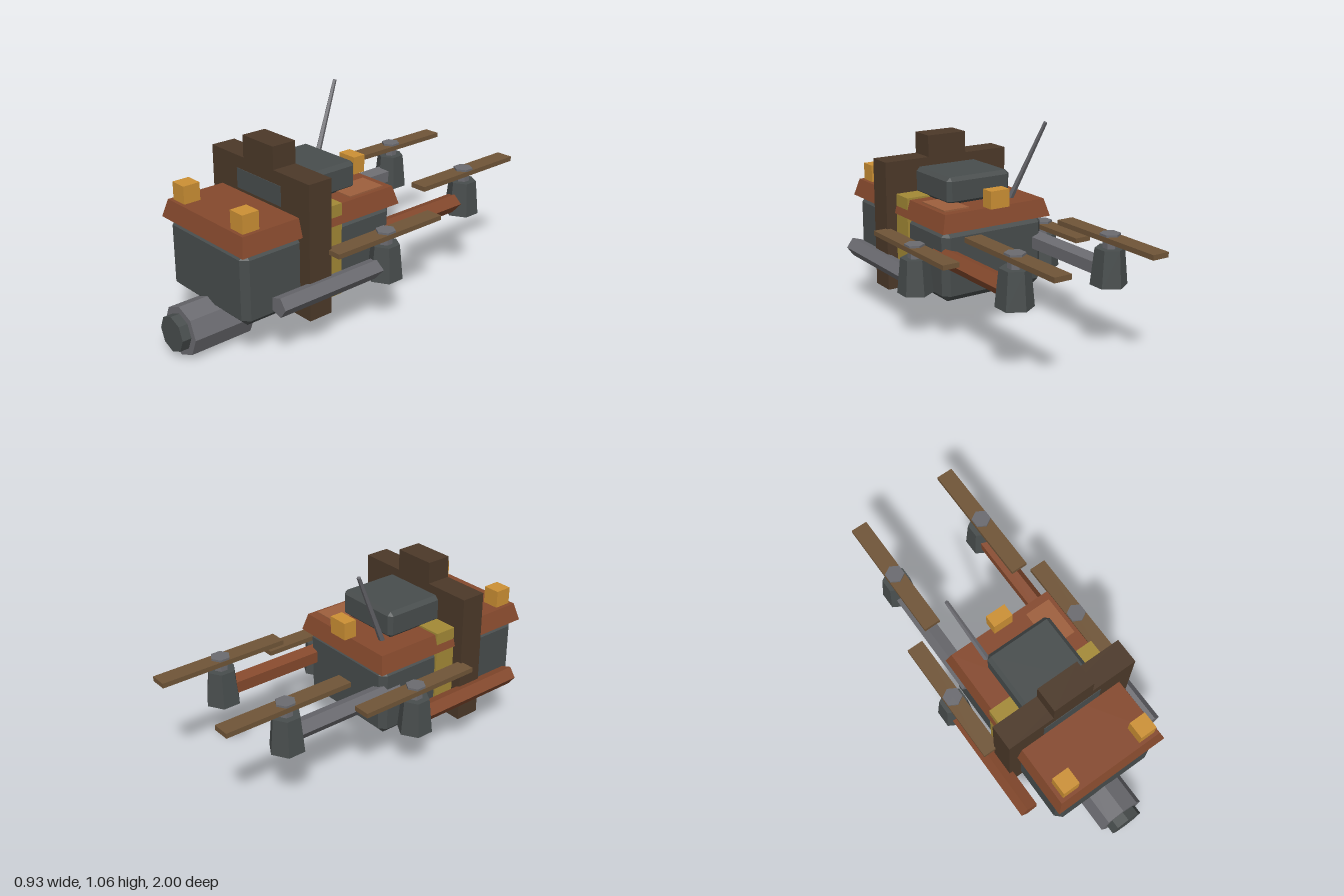
import * as THREE from 'three';
import { ConvexGeometry } from 'three/addons/geometries/ConvexGeometry.js';

const paint = (name, color) => {
  const m = new THREE.MeshStandardMaterial({ color });
  m.name = name;
  m.flatShading = true;
  return m;
};

export function createModel() {
  const slate = paint('slate', 0x484d4d);
  const darkWood = paint('dark wood', 0x4c3929);
  const rust = paint('rust', 0x85492d);
  const lightRust = paint('light rust', 0x9e5f3d);
  const brass = paint('brass', 0xa38936);
  const amber = paint('amber', 0xcc9034);
  const steel = paint('steel', 0x6b6b70);
  const wood = paint('wood', 0x705538);

  const model = new THREE.Group();
  model.name = 'flyingMachine';

  const add = (name, geometry, material, parent = model) => {
    const mesh = new THREE.Mesh(geometry, material);
    mesh.name = name;
    parent.add(mesh);
    return mesh;
  };

  // Box given by its lower and upper limits
  const box = (name, material, [x0, y0, z0], [x1, y1, z1], parent) => {
    const mesh = add(name, new THREE.BoxGeometry(x1 - x0, y1 - y0, z1 - z0), material, parent);
    mesh.position.set((x0 + x1) / 2, (y0 + y1) / 2, (z0 + z1) / 2);
    return mesh;
  };

  // Box with every edge cut off by c
  const chamferBox = (name, material, lo, hi, c) => {
    const half = [0, 1, 2].map((i) => (hi[i] - lo[i]) / 2);
    const points = [];
    for (const sx of [-1, 1]) for (const sy of [-1, 1]) for (const sz of [-1, 1]) {
      for (let axis = 0; axis < 3; axis++) {
        const p = half.map((h, i) => (i === axis ? h : h - c));
        points.push(new THREE.Vector3(p[0] * sx, p[1] * sy, p[2] * sz));
      }
    }
    const mesh = add(name, new ConvexGeometry(points), material);
    mesh.position.set(...lo.map((v, i) => (v + hi[i]) / 2));
    return mesh;
  };

  // Prism lying along z between two limits
  const prismZ = (name, material, radius, sides, x, y, z0, z1, spin) => {
    const geometry = new THREE.CylinderGeometry(radius, radius, z1 - z0, sides);
    geometry.rotateX(Math.PI / 2).rotateZ(spin);
    const mesh = add(name, geometry, material);
    mesh.position.set(x, y, (z0 + z1) / 2);
    return mesh;
  };

  // Hull
  chamferBox('hull', slate, [-0.295, 0.197, -0.11], [0.295, 0.56, 0.795], 0.032);

  // Sloped deck
  const deckPoints = [];
  for (const sx of [-1, 1]) for (const sz of [-1, 1]) {
    deckPoints.push(new THREE.Vector3(sx * 0.318, 0.56, 0.34 + sz * 0.475));
    deckPoints.push(new THREE.Vector3(sx * 0.292, 0.65, 0.34 + sz * 0.453));
  }
  add('deck', new ConvexGeometry(deckPoints), rust);
  box('deckPatch', lightRust, [0.13, 0.65, -0.07], [0.27, 0.658, 0.145]);

  // Bulkhead, its raised top and the band behind it
  box('bulkhead', darkWood, [-0.365, 0.15, 0.345], [0.365, 0.83, 0.477]);
  box('bulkheadTop', darkWood, [-0.113, 0.83, 0.345], [0.113, 0.943, 0.477]);
  box('hullBand', brass, [-0.307, 0.19, 0.23], [0.307, 0.66, 0.35]);

  // Cabin with its front plate showing through the bulkhead
  chamferBox('cabin', slate, [-0.185, 0.645, 0.028], [0.185, 0.786, 0.46], 0.02);
  box('cabinFrontPlate', slate, [-0.165, 0.665, 0.473], [0.165, 0.766, 0.48]);

  // Lamps
  for (const s of [-1, 1]) {
    box('frontLamp', amber, [s * 0.226 - 0.045, 0.65, 0.685], [s * 0.226 + 0.045, 0.74, 0.775]);
  }
  box('rearLamp', amber, [-0.055, 0.65, -0.15], [0.055, 0.74, -0.08]);

  // Nose barrel
  prismZ('barrel', steel, 0.125, 8, 0, 0.126, 0.62, 0.953, 0);
  prismZ('barrelMuzzle', slate, 0.09, 8, 0, 0.126, 0.94, 1, 0);

  // Antenna
  const base = new THREE.Vector3(-0.16, 0.64, 0.0);
  const tip = new THREE.Vector3(-0.228, 1.06, -0.203);
  const along = tip.clone().sub(base);
  const antenna = add('antenna', new THREE.CylinderGeometry(0.01, 0.016, along.length(), 5), steel);
  antenna.position.copy(base).add(tip).multiplyScalar(0.5);
  antenna.quaternion.setFromUnitVectors(new THREE.Vector3(0, 1, 0), along.normalize());

  // Four rotors, each on a pentagonal arm
  const rotor = (name, x, y, z) => {
    const group = new THREE.Group();
    group.name = name;
    group.position.set(x, y, z);
    model.add(group);
    add('motor', new THREE.CylinderGeometry(0.072, 0.09, 0.18, 6), slate, group).position.y = 0.09;
    add('shaft', new THREE.CylinderGeometry(0.035, 0.035, 0.06, 6), steel, group).position.y = 0.2;
    add('cap', new THREE.CylinderGeometry(0.05, 0.05, 0.025, 6), steel, group).position.y = 0.238;
    box('blade', wood, [-0.045, 0.215, -0.34], [0.045, 0.24, 0.34], group);
  };
  for (const s of [-1, 1]) {
    const spin = (s * Math.PI) / 2;
    const arm = (name, material, x, y, z0, z1) => {
      // One corner of the pentagon points outwards
      const mesh = prismZ(name, material, 0.051, 5, s * x, y, z0, z1, 0);
      mesh.geometry.rotateZ(spin);
    };
    arm('frontArm', s > 0 ? steel : rust, 0.386, 0.308, 0.06, 0.68);
    arm('rearArm', s > 0 ? rust : steel, 0.266, 0.425, -0.62, 0);
    rotor('frontRotor', s * 0.388, 0.24, 0.02);
    rotor('rearRotor', s * 0.27, 0.355, -0.66);
  }

  return model;
}
